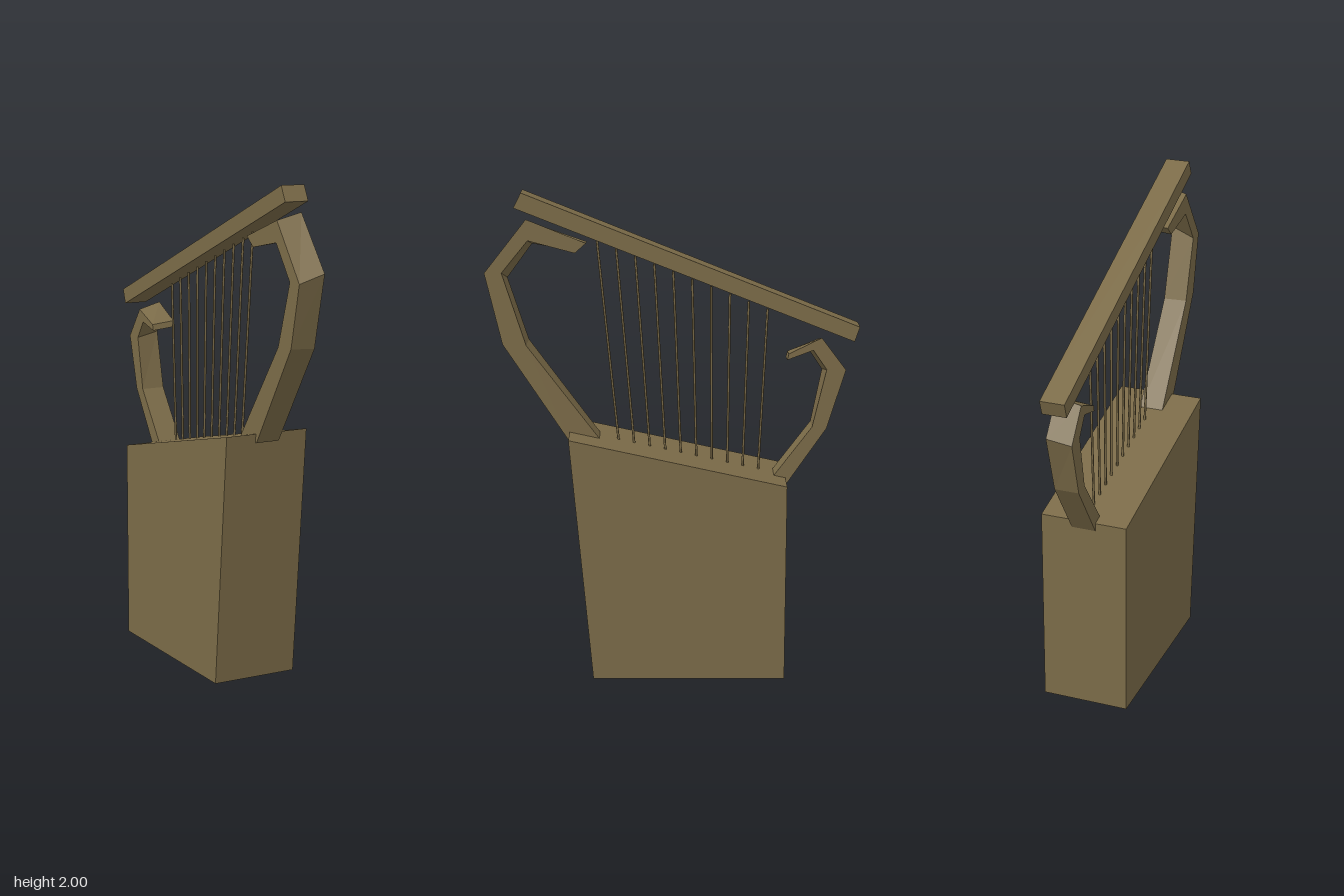
import * as THREE from 'three';

// Lofts a four-sided beam along the YZ plane. Each section is
// [z, y, z, y, dz, dy]: two edge points, then an optional shift of the -x side.
function loft(name, halfWidth, sections, material) {
  const rings = sections.map(([z0, y0, z1, y1, dz = 0, dy = 0]) => [
    [halfWidth, y0, z0],
    [-halfWidth, y0 + dy, z0 + dz],
    [-halfWidth, y1 + dy, z1 + dz],
    [halfWidth, y1, z1],
  ]);
  const pos = [];
  const quad = (a, b, c, d) => pos.push(...a, ...b, ...c, ...a, ...c, ...d);
  const first = rings[0], last = rings[rings.length - 1];
  quad(...first);
  for (let s = 0; s < rings.length - 1; s++) {
    for (let i = 0; i < 4; i++) {
      const j = (i + 1) % 4;
      quad(rings[s][j], rings[s][i], rings[s + 1][i], rings[s + 1][j]);
    }
  }
  quad(last[0], last[3], last[2], last[1]);
  const geometry = new THREE.BufferGeometry();
  geometry.setAttribute('position', new THREE.Float32BufferAttribute(pos, 3));
  geometry.computeVertexNormals();
  const mesh = new THREE.Mesh(geometry, material);
  mesh.name = name;
  return mesh;
}

export function createModel() {
  const group = new THREE.Group();
  group.name = 'lyre';
  const wood = new THREE.MeshStandardMaterial({ color: 0x7b6b48 });
  wood.name = 'wood';

  // Sound box with a sloping top and leaning front
  group.add(loft('soundBox', 0.18, [
    [0.33, 0, -0.46, 0],
    [0.42, 1.025, -0.46, 0.83],
  ], wood));

  // Sloping crossbar
  group.add(loft('crossbar', 0.05, [
    [0.60, 2.0, 0.63, 1.94],
    [-0.75, 1.46, -0.73, 1.40],
  ], wood));

  // Tall front arm, curling backwards at the top
  group.add(loft('frontArm', 0.05, [
    [0.425, 0.99, 0.29, 0.985],
    [0.685, 1.39, 0.59, 1.385, -0.005, 0.005],
    [0.752, 1.68, 0.683, 1.68, -0.016, -0.035],
    [0.582, 1.895, 0.577, 1.81, -0.012, -0.027],
    [0.345, 1.80, 0.39, 1.76, 0, -0.01],
  ], wood));

  // Short back arm, curling forwards at the top
  group.add(loft('backArm', 0.05, [
    [-0.39, 0.81, -0.455, 0.79],
    [-0.565, 1.045, -0.624, 1.04],
    [-0.62, 1.285, -0.698, 1.284, 0.012, -0.02],
    [-0.565, 1.365, -0.598, 1.416, 0.008, -0.025],
    [-0.46, 1.325, -0.466, 1.35, 0, -0.01],
  ], wood));

  // Ten strings fanning out between the sound box and the crossbar
  const strings = new THREE.Group();
  strings.name = 'strings';
  const up = new THREE.Vector3(0, 1, 0);
  const bottomFront = new THREE.Vector3(0, 0.97, 0.222);
  const bottomBack = new THREE.Vector3(0, 0.85, -0.35);
  const topFront = new THREE.Vector3(0, 1.8, 0.303);
  const topBack = new THREE.Vector3(0, 1.525, -0.381);
  for (let i = 0; i < 10; i++) {
    const a = bottomFront.clone().lerp(bottomBack, i / 9);
    const b = topFront.clone().lerp(topBack, i / 9);
    const dir = b.clone().sub(a);
    const geometry = new THREE.CylinderGeometry(0.005, 0.005, dir.length(), 6);
    const string = new THREE.Mesh(geometry, wood);
    string.name = `string${i + 1}`;
    string.position.copy(a).add(b).multiplyScalar(0.5);
    string.quaternion.setFromUnitVectors(up, dir.normalize());
    strings.add(string);
  }
  group.add(strings);

  return group;
}
